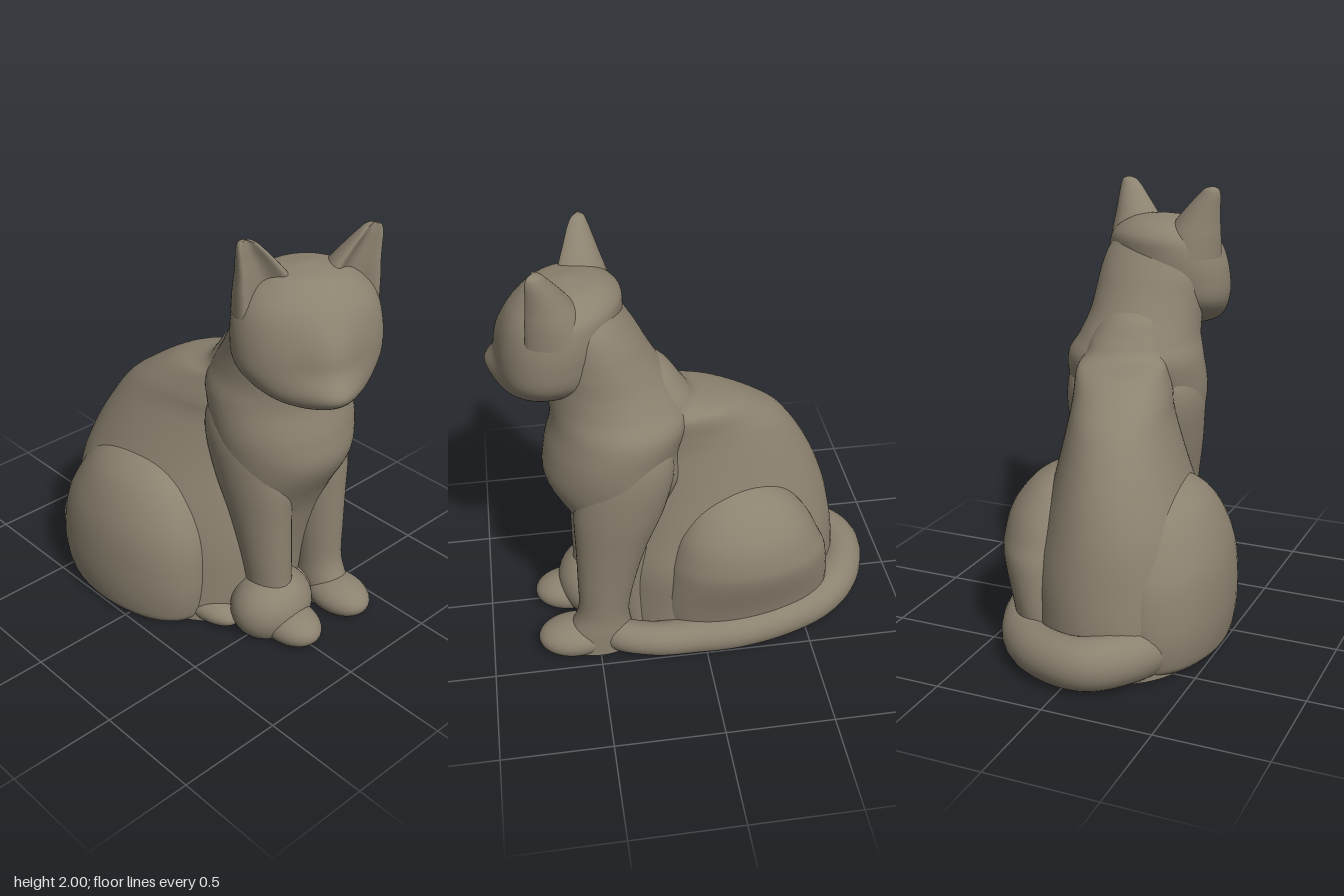
import * as THREE from 'three';
import { mergeVertices } from 'three/addons/utils/BufferGeometryUtils.js';

const clay = new THREE.MeshStandardMaterial({ color: 0x8c8270 });
clay.name = 'warm grey clay';

function part(name, geometry, parent) {
  const mesh = new THREE.Mesh(geometry, clay);
  mesh.name = name;
  parent.add(mesh);
}

// Smooth loft through horizontal oval sections: [y, centreX, centreZ, radiusX, radiusZ]
function loft(rings, { yaw = 0, power = 2, cup = 0, sides = 48, steps = 6 } = {}) {
  const centres = new THREE.CatmullRomCurve3(rings.map(r => new THREE.Vector3(r[1], r[0], r[2])), false, 'catmullrom', 0.5);
  const radii = new THREE.CatmullRomCurve3(rings.map(r => new THREE.Vector3(r[3], 0, r[4])), false, 'catmullrom', 0.5);
  const rows = (rings.length - 1) * steps;
  const pos = [], index = [];
  const shape = v => Math.sign(v) * Math.abs(v) ** (2 / power);
  for (let j = 0; j <= rows; j++) {
    const c = centres.getPoint(j / rows), r = radii.getPoint(j / rows);
    for (let i = 0; i < sides; i++) {
      const t = i / sides * Math.PI * 2;
      const x = Math.max(r.x, 0.002) * shape(Math.cos(t));
      let s = shape(Math.sin(t));
      if (s > 0) s -= cup * s ** 3; // hollow the front side
      const z = Math.max(r.z, 0.002) * s;
      pos.push(c.x + x * Math.cos(yaw) + z * Math.sin(yaw), c.y, c.z - x * Math.sin(yaw) + z * Math.cos(yaw));
    }
  }
  for (let j = 0; j < rows; j++) {
    for (let i = 0; i < sides; i++) {
      const a = j * sides + i, b = j * sides + (i + 1) % sides;
      index.push(a, a + sides, b, b, a + sides, b + sides);
    }
  }
  // End caps have their own corners so that the flat base stays crisp
  for (const j of [0, rows]) {
    const base = pos.length / 3;
    const c = centres.getPoint(j / rows);
    for (let i = 0; i < sides; i++) pos.push(...pos.slice((j * sides + i) * 3, (j * sides + i) * 3 + 3));
    pos.push(c.x, c.y, c.z);
    for (let i = 0; i < sides; i++) {
      const a = base + i, b = base + (i + 1) % sides;
      if (j === 0) index.push(base + sides, a, b);
      else index.push(base + sides, b, a);
    }
  }
  const g = new THREE.BufferGeometry();
  g.setAttribute('position', new THREE.Float32BufferAttribute(pos, 3));
  g.setIndex(index);
  g.computeVertexNormals();
  return g;
}

// Keep everything above the ground and weld the seams
function flatten(g) {
  const p = g.attributes.position;
  for (let i = 0; i < p.count; i++) p.setY(i, Math.max(p.getY(i), 0));
  g.deleteAttribute('uv');
  g.deleteAttribute('normal');
  const welded = mergeVertices(g, 1e-4);
  welded.computeVertexNormals();
  return welded;
}

// Ellipsoid resting flat on the ground
function blob(x, y, z, rx, ry, rz) {
  return flatten(new THREE.SphereGeometry(1, 36, 24).scale(rx, ry, rz).translate(x, y, z));
}

// Tapered tail lying on the ground, curling round the left side
function tailGeometry() {
  const path = new THREE.CatmullRomCurve3([
    [-0.3, 0.12, -0.42], [-0.23, 0.12, -0.63], [-0.09, 0.11, -0.755], [0.12, 0.1, -0.72], [0.28, 0.09, -0.59], [0.39, 0.09, -0.38],
    [0.44, 0.08, -0.15], [0.445, 0.075, 0.05], [0.435, 0.07, 0.25], [0.36, 0.07, 0.42], [0.2, 0.07, 0.45], [0, 0.1, 0.5],
  ].map(p => new THREE.Vector3(...p)));
  const segments = 90, sides = 24;
  const g = new THREE.TubeGeometry(path, segments, 1, sides);
  const p = g.attributes.position, v = new THREE.Vector3();
  for (let i = 0; i < p.count; i++) {
    const u = Math.floor(i / (sides + 1)) / segments;
    const c = path.getPointAt(u);
    v.fromBufferAttribute(p, i).sub(c).multiplyScalar(0.13 - 0.05 * Math.min(1, u * 1.3)).add(c);
    p.setXYZ(i, v.x, v.y, v.z);
  }
  return flatten(g);
}

// Foreleg leaning from footX at the ground to shoulderX at the top
function forelegGeometry(footX, shoulderX) {
  return loft([
    [0, 0.5, 0.105, 0.17], [0.1, 0.49, 0.105, 0.15], [0.22, 0.47, 0.1, 0.12], [0.4, 0.45, 0.112, 0.135], [0.6, 0.42, 0.128, 0.165],
    [0.8, 0.38, 0.145, 0.205], [1.0, 0.34, 0.145, 0.21], [1.13, 0.32, 0.11, 0.16], [1.2, 0.31, 0.02, 0.03],
  ].map(([y, z, rx, rz]) => [y, THREE.MathUtils.lerp(footX, shoulderX, Math.min(1, y)), z, rx, rz]));
}

// Skull with the muzzle and nose bridge swelling out of its front
function skullGeometry() {
  const g = loft([
    [-0.27, 0, 0.13, 0.08, 0.08], [-0.22, 0, 0.09, 0.22, 0.19], [-0.12, 0, 0.04, 0.315, 0.24], [0, 0, 0.02, 0.33, 0.255],
    [0.12, 0, 0, 0.31, 0.245], [0.2, 0, -0.02, 0.26, 0.215], [0.26, 0, -0.02, 0.16, 0.14], [0.285, 0, -0.02, 0.02, 0.02],
  ], { sides: 72, steps: 9 });
  const p = g.attributes.position;
  const bump = (x, y, w, h) => Math.exp(-((x / w) ** 2) - (y / h) ** 2);
  for (let i = 0; i < p.count; i++) {
    const x = p.getX(i), y = p.getY(i), z = p.getZ(i);
    const front = THREE.MathUtils.smoothstep(z, 0.05, 0.2);
    p.setZ(i, z + front * (0.085 * bump(x, y + 0.165, 0.14, 0.075) + 0.04 * bump(x, y + 0.01, 0.11, 0.13)));
  }
  g.computeVertexNormals();
  return g;
}

function createHead() {
  const head = new THREE.Group();
  head.name = 'head';
  part('skull', skullGeometry(), head);
  for (const [name, s] of [['leftEar', 1], ['rightEar', -1]]) {
    part(name, loft([
      [0.1, s * 0.17, 0, 0.15, 0.17], [0.2, s * 0.185, 0.005, 0.135, 0.14], [0.27, s * 0.207, 0.01, 0.11, 0.11],
      [0.34, s * 0.238, 0.015, 0.08, 0.078], [0.39, s * 0.262, 0.02, 0.057, 0.055], [0.42, s * 0.275, 0.02, 0.036, 0.036],
      [0.431, s * 0.28, 0.02, 0.008, 0.008],
    ], { cup: 0.95 }), head);
  }
  head.position.set(0.07, 1.57, 0.56);
  head.rotation.y = -0.4;
  return head;
}

export function createModel() {
  const cat = new THREE.Group();
  cat.name = 'sittingCat';

  // Rump and arched back, running up into the nape
  part('back', loft([
    [0, -0.01, -0.14, 0.42, 0.58], [0.2, -0.01, -0.14, 0.41, 0.59], [0.4, 0, -0.13, 0.4, 0.575], [0.6, 0, -0.12, 0.355, 0.54],
    [0.8, 0.02, -0.09, 0.295, 0.49], [1.0, 0.05, -0.03, 0.24, 0.43], [1.1, 0.07, 0.03, 0.225, 0.38], [1.2, 0.1, 0.09, 0.21, 0.28],
    [1.25, 0.11, 0.16, 0.19, 0.17], [1.32, 0.115, 0.22, 0.18, 0.165], [1.42, 0.11, 0.31, 0.15, 0.175], [1.5, 0.1, 0.37, 0.05, 0.08],
  ], { yaw: 0.26, power: 2.15, sides: 64 }), cat);

  // Chest rising into the neck
  part('chestAndNeck', loft([
    [0, 0.14, 0.28, 0.2, 0.15], [0.3, 0.14, 0.32, 0.2, 0.15], [0.55, 0.135, 0.36, 0.24, 0.17], [0.7, 0.135, 0.38, 0.29, 0.21],
    [0.9, 0.14, 0.38, 0.325, 0.315], [1.05, 0.14, 0.38, 0.342, 0.31], [1.2, 0.14, 0.345, 0.333, 0.31], [1.3, 0.125, 0.365, 0.295, 0.29],
    [1.4, 0.11, 0.4, 0.275, 0.26], [1.5, 0.1, 0.43, 0.27, 0.23], [1.6, 0.09, 0.45, 0.265, 0.195],
    [1.7, 0.085, 0.48, 0.24, 0.16], [1.79, 0.08, 0.51, 0.17, 0.12], [1.84, 0.08, 0.53, 0.03, 0.03],
  ], { sides: 64 }), cat);

  cat.add(createHead());

  // Folded hind legs
  part('rightHaunch', loft([
    [0, -0.27, -0.17, 0.22, 0.4], [0.05, -0.27, -0.18, 0.25, 0.44], [0.2, -0.27, -0.18, 0.27, 0.46], [0.4, -0.265, -0.17, 0.265, 0.44],
    [0.55, -0.255, -0.16, 0.235, 0.38], [0.68, -0.24, -0.16, 0.18, 0.29], [0.76, -0.225, -0.16, 0.1, 0.17], [0.79, -0.22, -0.16, 0.01, 0.01],
  ]), cat);
  part('leftHaunch', loft([
    [0, 0.27, -0.22, 0.17, 0.38], [0.2, 0.28, -0.22, 0.19, 0.41], [0.4, 0.29, -0.22, 0.235, 0.39], [0.5, 0.29, -0.21, 0.24, 0.36],
    [0.62, 0.28, -0.2, 0.215, 0.31], [0.73, 0.26, -0.19, 0.15, 0.22], [0.79, 0.245, -0.18, 0.07, 0.11], [0.81, 0.24, -0.18, 0.01, 0.01],
  ], { yaw: 0.15 }), cat);
  part('rightHindPaw', blob(-0.18, 0.05, 0.24, 0.1, 0.07, 0.2), cat);

  // Forelegs and paws
  part('leftForeleg', forelegGeometry(0.335, 0.335), cat);
  part('rightForeleg', forelegGeometry(0.01, -0.055), cat);
  part('leftForepaw', blob(0.33, 0.055, 0.61, 0.125, 0.09, 0.175), cat);
  part('rightForepaw', blob(0, 0.055, 0.61, 0.125, 0.09, 0.17), cat);

  // Tail and its curled tip over the right paw
  part('tail', tailGeometry(), cat);
  part('tailTip', blob(-0.005, 0.11, 0.49, 0.21, 0.175, 0.175), cat);

  return cat;
}
